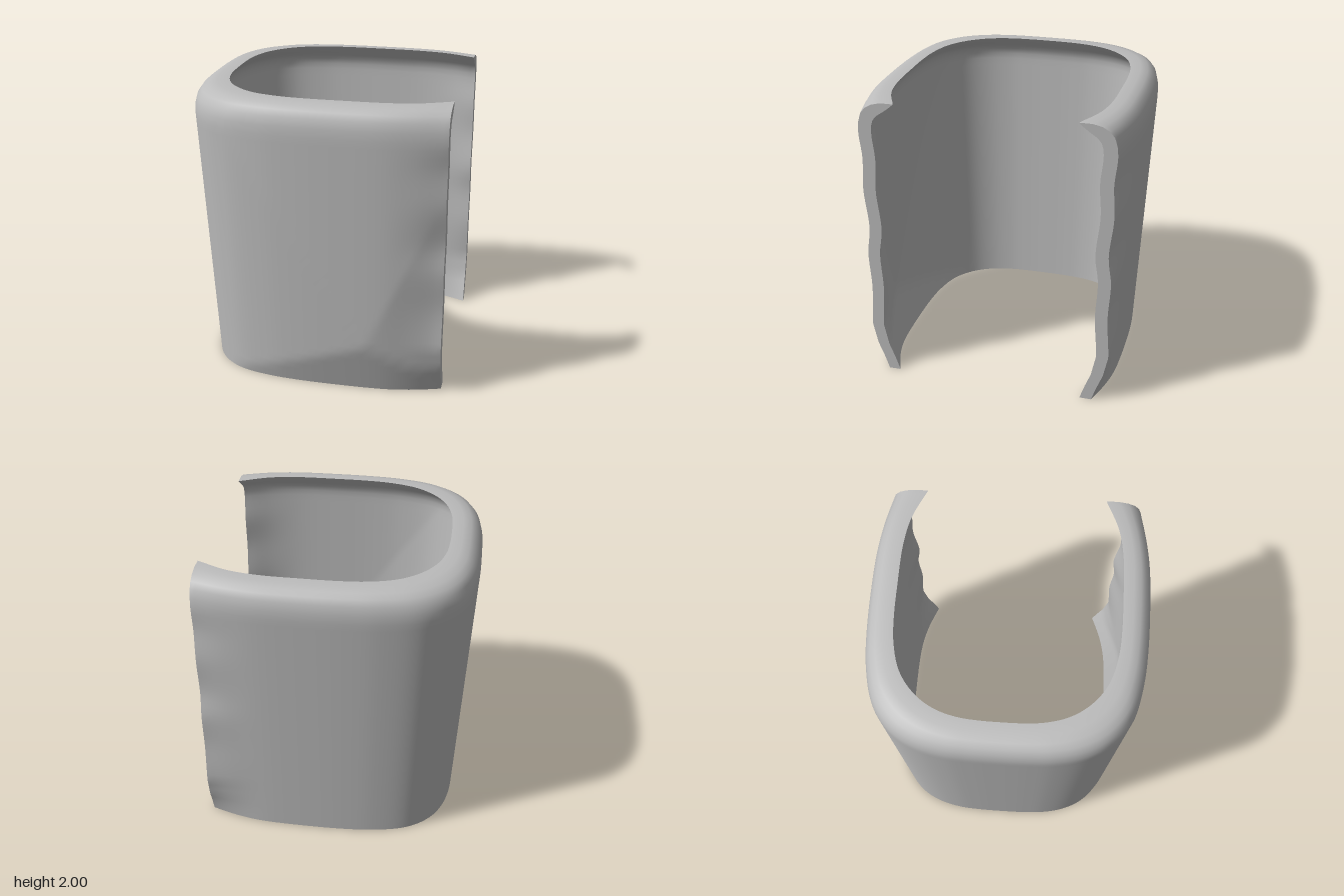
import * as THREE from 'three';

// Half plan of the shell: [outer x, outer z, rim x, rim z], from the closed side to the open end
const PLAN = [
  [-0.905, 0, -0.69, 0], [-0.902, 0.2, -0.688, 0.13], [-0.89, 0.36, -0.675, 0.27],
  [-0.85, 0.53, -0.635, 0.41], [-0.78, 0.67, -0.57, 0.52], [-0.68, 0.775, -0.48, 0.61],
  [-0.55, 0.85, -0.37, 0.675], [-0.32, 0.905, -0.2, 0.72], [-0.1, 0.925, -0.03, 0.735],
  [0.2, 0.93, 0.2, 0.736], [0.5, 0.92, 0.5, 0.727], [0.7, 0.893, 0.7, 0.69], [0.905, 0.85, 0.905, 0.6],
];
// Wavy open edge: [y, outer z]
const EDGE = [
  [0, 0.73], [0.1, 0.765], [0.2, 0.805], [0.35, 0.838], [0.65, 0.823], [0.9, 0.837],
  [1.1, 0.815], [1.4, 0.842], [1.6, 0.832], [1.8, 0.85], [2, 0.85],
];
// Section rows: [y, inset], where inset 0 is the outer plan and 1 the rim
const OUTER_CURL = [[1.86, 0.02], [1.92, 0.09], [1.96, 0.22], [1.985, 0.4], [2, 0.65], [2, 1]];
const INNER_CURL = [[1.84, 0.37], [1.88, 0.42], [1.91, 0.52], [1.94, 0.7], [1.97, 0.86], [2, 1]];
const WALL_ROWS = 36;
const COLUMNS = 140;

const section = (inset, curl) => [
  ...Array.from({ length: WALL_ROWS + 1 }, (_, i) => [(1.8 * i) / WALL_ROWS, inset]), ...curl,
];
const OUTER = section(0, OUTER_CURL);
const INNER = section(0.36, INNER_CURL);
const LAST = OUTER.length - 1;

// Mirrored plan curves
const planCurve = (k) => new THREE.CatmullRomCurve3([
  ...PLAN.slice(1).reverse().map((p) => new THREE.Vector3(p[k], 0, -p[k + 1])),
  ...PLAN.map((p) => new THREE.Vector3(p[k], 0, p[k + 1])),
]);
const outerCurve = planCurve(0);
const rimCurve = planCurve(2);

const clamp = THREE.MathUtils.clamp;
const taper = (y) => 1 - 0.105 * Math.max(0, 1 - y / 1.85);

function edgeZ(y) {
  let i = 0;
  while (i < EDGE.length - 2 && y > EDGE[i + 1][0]) i++;
  const [y0, z0] = EDGE[i], [y1, z1] = EDGE[i + 1];
  const t = THREE.MathUtils.smoothstep(y, y0, y1);
  return z0 + (z1 - z0) * (y < 0.35 ? (y - y0) / (y1 - y0) : t);
}

// Point of the shell at plan parameter t (0..1) and a section row
function shellPoint(t, [y, inset]) {
  const p = outerCurve.getPoint(t).lerp(rimCurve.getPoint(t), inset);
  const f = taper(y);
  const side = Math.sign(p.z);
  if (p.x < 0.1) p.x = 0.1 + (p.x - 0.1) * f;
  p.z *= f;
  // Bent open edges
  const w = clamp((p.x - 0.5) / 0.405, 0, 1) ** 2;
  if (w > 0) p.z += side * w * (edgeZ(y) - 0.85 * f);
  // Faceted bulge low on the front
  if (side > 0) {
    const bulge = Math.min(y / 0.35, (1.85 - y) / 1.5, (p.x + 0.6) / 1, (1.1 - p.x) / 0.7);
    p.z += 0.078 * clamp(bulge, 0, 1) * (1 - w);
  }
  p.y = y;
  return p;
}

// Smooth grid surface whose front faces du x dv
function surface(name, nu, nv, pointAt, material) {
  const positions = [], index = [];
  for (let j = 0; j <= nv; j++) {
    for (let i = 0; i <= nu; i++) {
      positions.push(...pointAt(i, j).toArray());
      if (i < nu && j < nv) {
        const a = j * (nu + 1) + i, b = a + nu + 1;
        index.push(a, a + 1, b + 1, a, b + 1, b);
      }
    }
  }
  const geometry = new THREE.BufferGeometry();
  geometry.setAttribute('position', new THREE.Float32BufferAttribute(positions, 3));
  geometry.setIndex(index);
  geometry.computeVertexNormals();
  const mesh = new THREE.Mesh(geometry, material);
  mesh.name = name;
  return mesh;
}

export function createModel() {
  const grey = new THREE.MeshStandardMaterial({ color: 0xbcbcbc, side: THREE.DoubleSide });
  grey.name = 'grey';
  const group = new THREE.Group();
  group.name = 'openShell';
  group.add(
    surface('outerWall', COLUMNS, LAST, (i, j) => shellPoint(i / COLUMNS, OUTER[j]), grey),
    surface('innerWall', COLUMNS, LAST, (i, j) => shellPoint(i / COLUMNS, INNER[LAST - j]), grey),
    surface('bottomEdge', COLUMNS, 1, (i, j) => shellPoint(i / COLUMNS, (j ? OUTER : INNER)[0]), grey),
    // Cut faces of the two open ends
    surface('frontEndFace', 1, LAST, (i, j) => shellPoint(1, (i ? INNER : OUTER)[j]), grey),
    surface('backEndFace', 1, LAST, (i, j) => shellPoint(0, (i ? OUTER : INNER)[j]), grey),
  );
  return group;
}
